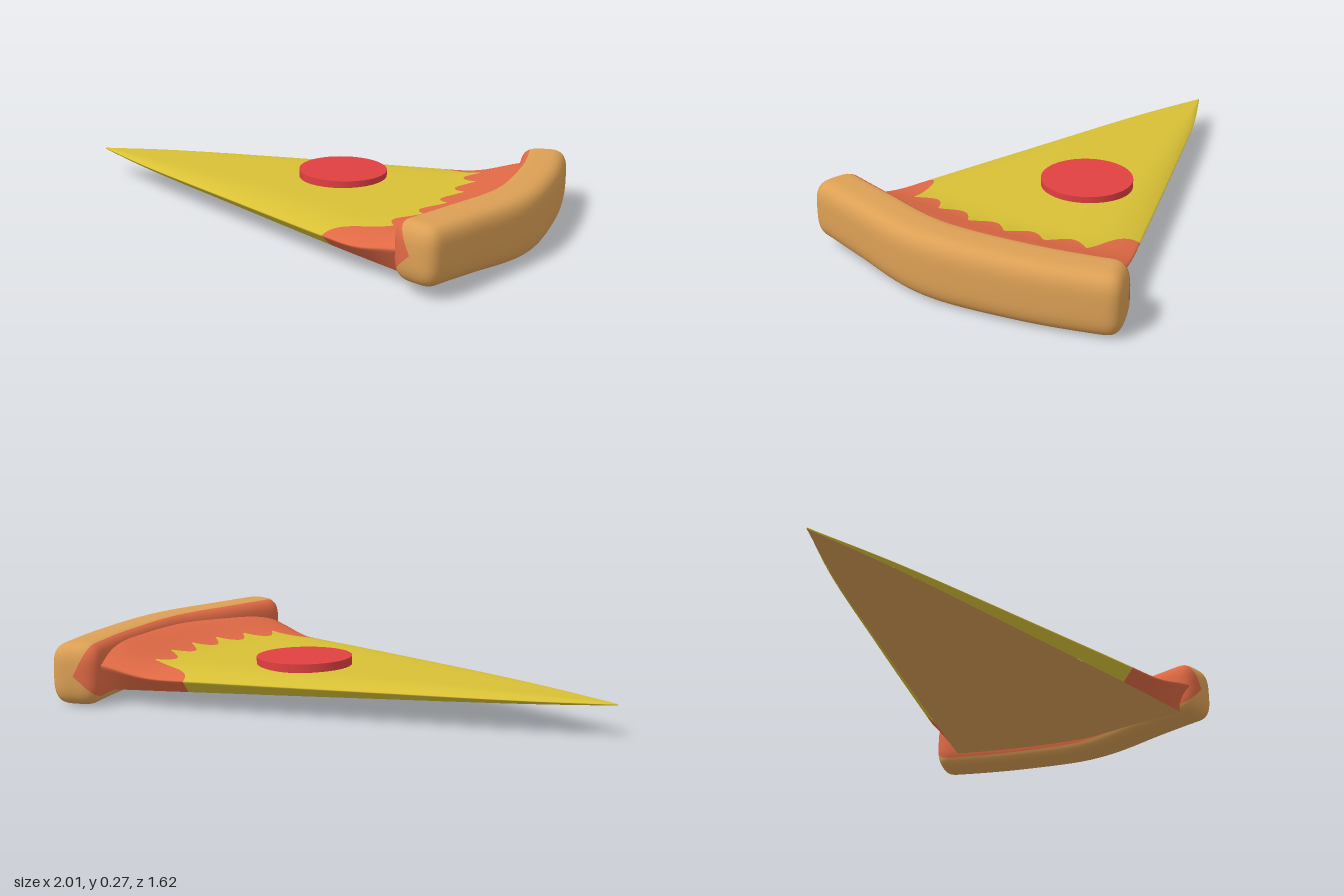
import * as THREE from 'three';

const { lerp, clamp, smoothstep } = THREE.MathUtils;
const mat = (color) => new THREE.MeshStandardMaterial({ color });
const CRUST = mat(0xdca055), CHEESE = mat(0xd8c035), SAUCE = mat(0xe06a45), MEAT = mat(0xe04040);

// Smooth curve through [x, z] points, lying in the ground plane
const flatCurve = (pts) => new THREE.CatmullRomCurve3(pts.map(([x, z]) => new THREE.Vector3(x, 0, z)));

// Indexed surface from f(u, v); it faces du x dv
function grid(name, material, nu, nv, f) {
  const pos = [], idx = [];
  for (let i = 0; i <= nu; i++) {
    for (let j = 0; j <= nv; j++) pos.push(...f(i / nu, j / nv));
  }
  for (let i = 0; i < nu; i++) {
    for (let j = 0; j < nv; j++) {
      const a = i * (nv + 1) + j, b = a + nv + 1;
      idx.push(a, b, a + 1, b, b + 1, a + 1);
    }
  }
  const geo = new THREE.BufferGeometry();
  geo.setAttribute('position', new THREE.Float32BufferAttribute(pos, 3));
  geo.setIndex(idx);
  geo.computeVertexNormals();
  const mesh = new THREE.Mesh(geo, material);
  mesh.name = name;
  return mesh;
}

// Outline of the slice: two long sides from the tip, and the arc along the crust
const backSide = flatCurve([[-1, -0.8], [-0.7, -0.74], [-0.2, -0.6], [0.35, -0.44], [0.85, -0.29]]);
const frontSide = flatCurve([[-1, -0.8], [-0.8, -0.51], [-0.4, 0], [-0.04, 0.45], [0.18, 0.71]]);
const arc = flatCurve([[0.85, -0.29], [0.75, 0], [0.57, 0.31], [0.36, 0.55], [0.18, 0.71]]);

// Plan position: s runs from tip to crust, t from back side to front side
function plan(s, t) {
  const e = Math.min(s, 1);
  const p = backSide.getPointAt(e).lerp(frontSide.getPointAt(e), t);
  const chord = arc.getPointAt(0).lerp(arc.getPointAt(1), t);
  p.addScaledVector(arc.getPointAt(t).sub(chord), e);
  if (s > 1) {
    const dir = new THREE.Vector3(0.79, 0, 0.61);
    p.addScaledVector(dir, (s - 1) * 1.5 * Math.sin(Math.PI * t));
  }
  return p;
}

const INSET = 0.05;
const bottomY = (s) => lerp(0.118, 0.055, Math.min(s, 1));

// Domed top of the slice, wrapping round both sides to the underside
function topping(s, w) {
  const k = w * 1.12 - 0.06;
  const edgeT = clamp(k, 0, 1);
  const under = Math.abs(k - edgeT) / 0.06;
  const t = edgeT + (k < 0 ? 1 : -1) * under * INSET;
  const rise = smoothstep(s, 0.84, 1.02) ** 1.5 * 0.07;
  const top = 0.124 + 0.031 * (1 - (1 - Math.min(s, 1)) ** 3) + rise;
  const edge = lerp(0.121, 0.115, s) + rise * 0.7;
  const dome = 1 - Math.abs(2 * edgeT - 1) ** 6;
  const p = plan(s, t);
  return [p.x, lerp(lerp(edge, top, dome), bottomY(s), under), p.z];
}

// Scalloped line where the cheese ends and the sauce begins
function cheeseEnd(w) {
  const t = clamp(w * 1.12 - 0.06, 0, 1);
  const a = 0.14, b = 0.84;
  if (t < a) return lerp(0.815, 0.912, (t / a) ** 2.5);
  if (t > b) return lerp(0.805, 0.912, ((1 - t) / (1 - b)) ** 2.5);
  const m = (t - a) / (b - a);
  return 0.912 + 0.012 * Math.sin(Math.PI * m) - 0.036 * Math.abs(Math.sin(5 * Math.PI * m));
}

// Crust: a rounded block swept along its centre line, closed at both ends
const crustPath = flatCurve([[0.93, -0.315], [0.9, -0.2], [0.82, 0.03], [0.65, 0.36], [0.425, 0.585], [0.225, 0.77]]);
const crustLength = crustPath.getLength();

function crustPoint(phi, v) {
  const u = 0.5 - 0.5 * Math.cos(Math.PI * v);
  const p = crustPath.getPointAt(u), T = crustPath.getTangentAt(u);
  const d = Math.min(1, Math.min(u, 1 - u) * crustLength / 0.075);
  const scale = Math.cbrt(1 - (1 - d) ** 3);
  const soft = (x) => Math.sign(x) * Math.abs(x) ** (2 / 3.5);
  const n = soft(Math.cos(phi)) * 0.098 * scale;
  const low = lerp(0.003, 0.045, smoothstep(u, 0.45, 1));
  const high = lerp(0.24, 0.277, u);
  const y = (low + high) / 2 + soft(Math.sin(phi)) * (high - low) / 2 * scale;
  return [p.x + T.z * n, y, p.z - T.x * n];
}

function crustStrip(name, material, from, to, steps) {
  const rad = Math.PI / 180;
  return grid(name, material, steps, 72, (u, v) => crustPoint(lerp(from, to, u) * rad, v));
}

export function createModel() {
  const model = new THREE.Group();
  model.name = 'pizzaSlice';

  // Slice: cheese, sauce and dough base
  model.add(grid('cheese', CHEESE, 160, 36, (w, q) => topping(q * cheeseEnd(w), w)));
  model.add(grid('sauce', SAUCE, 160, 16, (w, q) => topping(lerp(cheeseEnd(w), 1.03, q), w)));
  model.add(grid('base', CRUST, 30, 30, (q, v) => {
    const s = q * 1.03, p = plan(s, lerp(INSET, 1 - INSET, v));
    return [p.x, bottomY(s), p.z];
  }));

  // Crust, with sauce on its inner face
  model.add(crustStrip('crust', CRUST, 212, 474, 48));
  model.add(crustStrip('crustSauce', SAUCE, 114, 212, 20));

  // Pepperoni
  const pepperoni = new THREE.Mesh(new THREE.CylinderGeometry(0.183, 0.183, 0.05, 48), MEAT);
  pepperoni.name = 'pepperoni';
  pepperoni.position.set(0.06, 0.157, -0.215);
  pepperoni.rotation.z = -0.015;
  model.add(pepperoni);

  return model;
}
